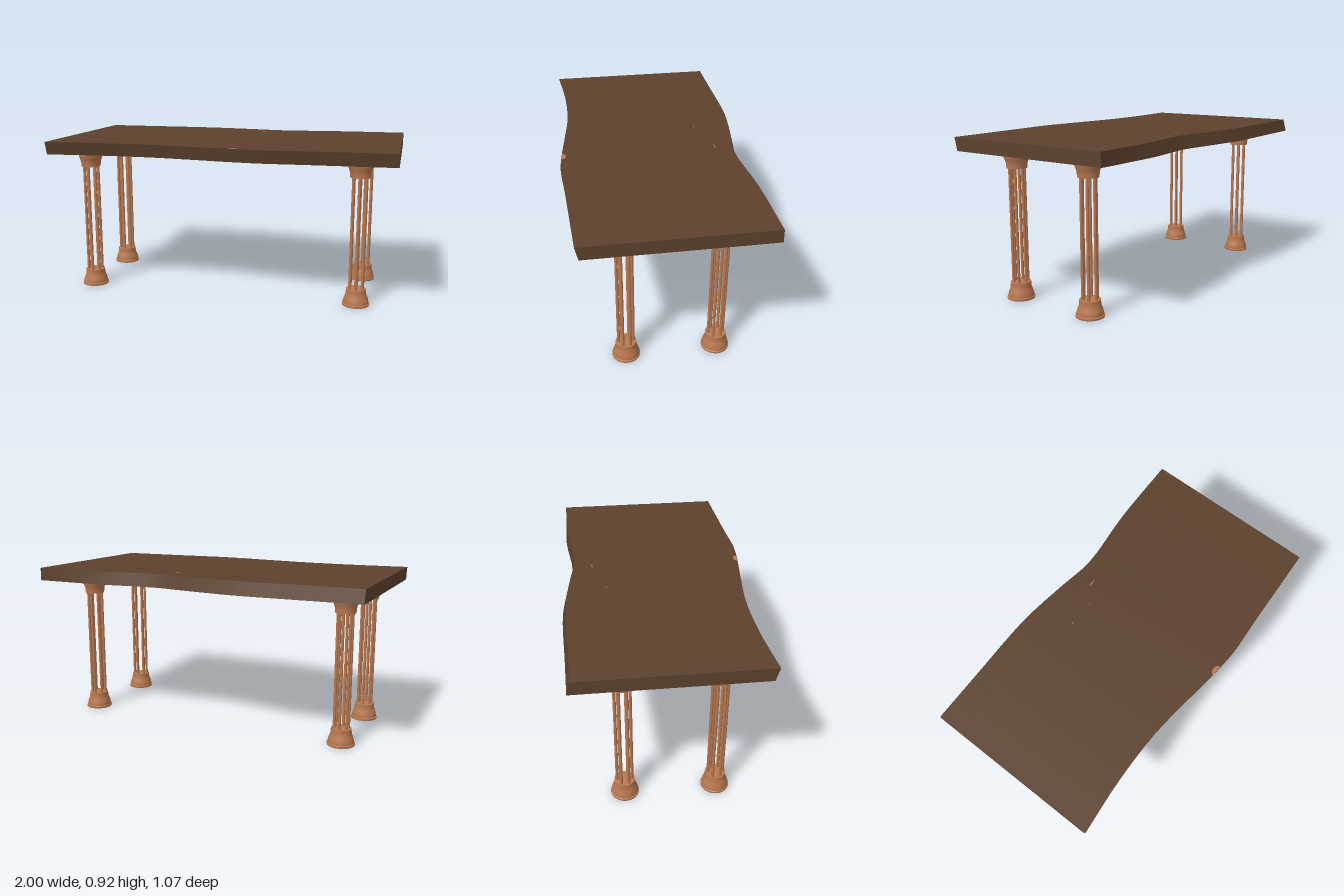
import * as THREE from 'three';
import { toCreasedNormals } from 'three/addons/utils/BufferGeometryUtils.js';

const TOP = 0.915, UNDER = 0.84;

// Wavy slab: cross-sections along x, each with four corners
function slabGeometry() {
  // x, z at the upper edge, z at the lower edge
  const edge = (pts) => new THREE.CatmullRomCurve3(pts.map((p) => new THREE.Vector3(...p)));
  const front = edge([
    [-1, 0.5, 0.48], [-0.68, 0.471, 0.451], [-0.37, 0.469, 0.449], [-0.1, 0.498, 0.478],
    [0.1, 0.523, 0.503], [0.27, 0.536, 0.516], [0.5, 0.524, 0.504], [1, 0.502, 0.485],
  ]);
  const back = edge([
    [-1, -0.505, -0.524], [-0.7, -0.511, -0.53], [-0.4, -0.518, -0.538], [-0.25, -0.514, -0.534],
    [0, -0.485, -0.505], [0.22, -0.456, -0.476], [0.58, -0.491, -0.508], [1, -0.505, -0.507],
  ]);
  const N = 28;
  const f = front.getPoints(N), b = back.getPoints(N);
  const pos = [], idx = [];
  for (let i = 0; i <= N; i++) {
    pos.push(f[i].x, TOP, f[i].y, b[i].x, TOP, b[i].y, b[i].x, UNDER, b[i].z, f[i].x, UNDER, f[i].z);
  }
  const quad = (p, q, r, s) => idx.push(p, q, r, p, r, s);
  for (let i = 0; i < N; i++) {
    for (let k = 0; k < 4; k++) {
      const n = (k + 1) % 4;
      quad(i * 4 + k, i * 4 + 4 + k, i * 4 + 4 + n, i * 4 + n);
    }
  }
  quad(0, 1, 2, 3);
  const e = N * 4;
  quad(e, e + 3, e + 2, e + 1);
  const g = new THREE.BufferGeometry();
  g.setAttribute('position', new THREE.Float32BufferAttribute(pos, 3));
  g.setIndex(idx);
  return toCreasedNormals(g, 0.6);
}

export function createModel() {
  const darkWood = new THREE.MeshStandardMaterial({ color: 0x5c412d });
  darkWood.name = 'darkWood';
  const copper = new THREE.MeshStandardMaterial({ color: 0xb87850 });
  copper.name = 'copper';

  const table = new THREE.Group();
  table.name = 'table';
  const add = (parent, name, geo, mat, x = 0, y = 0, z = 0) => {
    const m = new THREE.Mesh(geo, mat);
    m.name = name;
    m.position.set(x, y, z);
    parent.add(m);
    return m;
  };

  add(table, 'tabletop', slabGeometry(), darkWood);

  // Flared foot, also used upside down as the capital
  const profile = [
    [0, 0], [0.077, 0], [0.078, 0.003], [0.078, 0.011], [0.073, 0.014], [0.072, 0.026], [0.069, 0.04],
    [0.062, 0.057], [0.059, 0.068], [0.058, 0.08], [0.057, 0.096], [0, 0.096],
  ].map(([r, y]) => new THREE.Vector2(r, y));
  const footGeo = toCreasedNormals(new THREE.LatheGeometry(profile, 32), 0.6);
  const rodGeo = new THREE.CylinderGeometry(0.0085, 0.0085, 0.66, 12);

  // Four legs, each a ring of six slim rods between foot and capital
  for (const x of [-0.834, 0.789]) {
    for (const z of [0.252, -0.254]) {
      const leg = new THREE.Group();
      leg.name = (z > 0 ? 'front' : 'back') + (x > 0 ? 'Left' : 'Right') + 'Leg';
      leg.position.set(x, 0, z);
      add(leg, 'foot', footGeo, copper);
      add(leg, 'capital', footGeo, copper, 0, UNDER, 0).rotation.x = Math.PI;
      for (let i = 0; i < 6; i++) {
        const a = (i * Math.PI) / 3;
        add(leg, 'rod', rodGeo, copper, 0.041 * Math.sin(a), UNDER / 2, 0.041 * Math.cos(a));
      }
      table.add(leg);
    }
  }

  // Tiny copper inlays flush with the tabletop: x, z, half width, depth
  const inlays = [[0.125, 0.523, 0.032, 0.022], [0.125, -0.355, 0.022, 0.006],
    [-0.14, -0.285, 0.01, 0.004], [0.012, -0.28, 0.006, 0.003]];
  const halfDisc = new THREE.CylinderGeometry(1, 1, 0.003, 16, 1, false, Math.PI / 2, Math.PI);
  for (const [x, z, w, d] of inlays) {
    add(table, 'inlay', halfDisc, copper, x, TOP - 0.0005, z).scale.set(w, 1, d);
  }
  return table;
}
